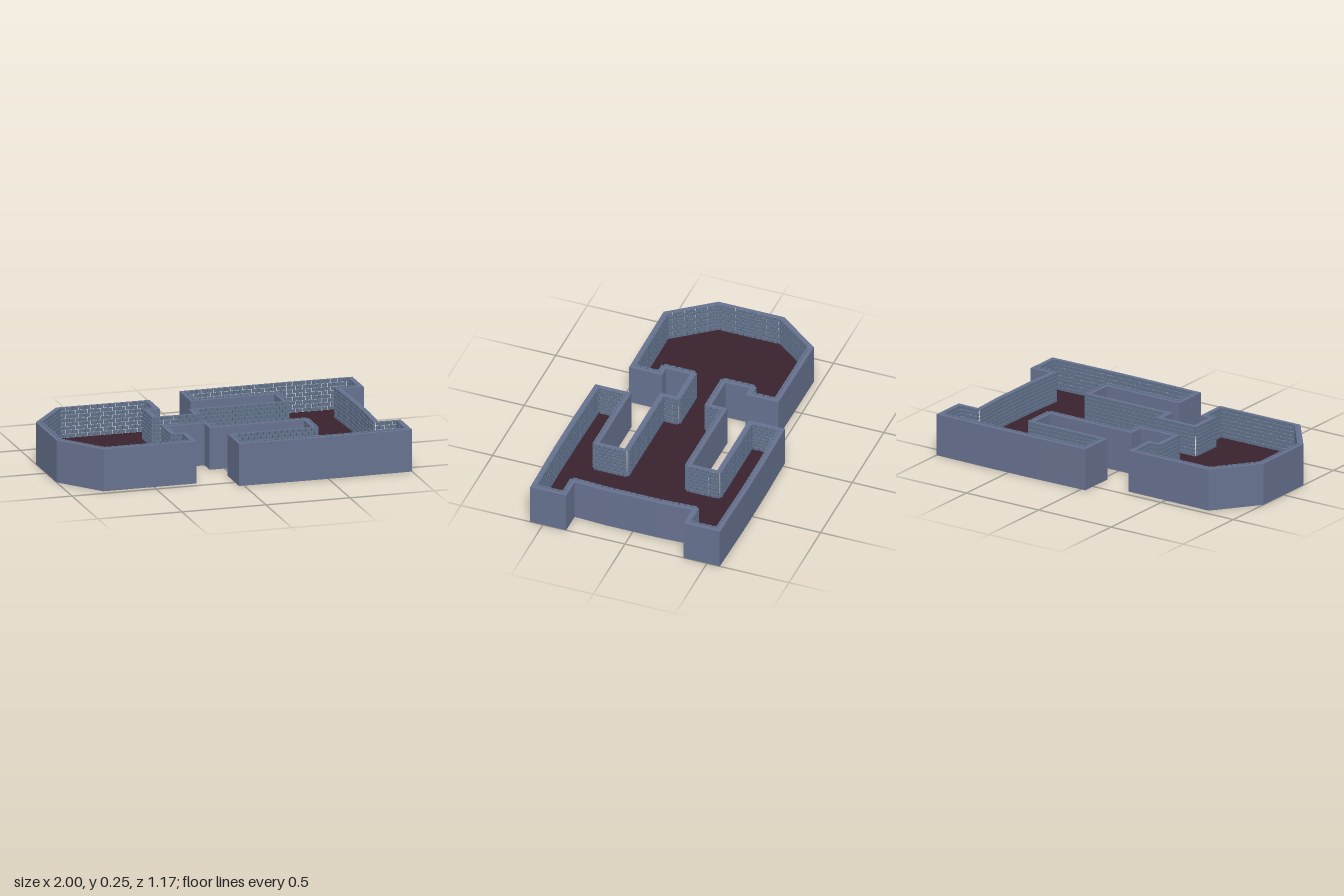
import * as THREE from 'three';
import { mergeGeometries } from 'three/addons/utils/BufferGeometryUtils.js';

const WALL_T = 0.023, BRICK_D = 0.012, FLOOR_Y = 0.07, WALL_Y = 0.248, TOP_Y = 0.252;

// Half of the symmetrical outline; the other half is mirrored
const half = [
  [-1, 0.2], [-0.8, 0.458], [-0.245, 0.455], [-0.245, 0.255], [-0.31, 0.255],
  [-0.31, 0.108], [-0.09, 0.108], [-0.09, 0.205], [0.47, 0.205], [0.47, 0.358],
  [-0.03, 0.358], [-0.03, 0.578], [0.3, 0.584], [0.6, 0.585], [1, 0.578], [1, 0.358], [0.866, 0.358],
  [0.876, 0.16],
];
const outline = [...half, ...half.map(([x, y]) => [x, -y]).reverse()]
  .map(([x, y]) => new THREE.Vector2(x, y));

// Inward normal of a clockwise edge
function normal(a, b) {
  const d = b.clone().sub(a).normalize();
  return new THREE.Vector2(d.y, -d.x);
}

// Mitred inward offset of a closed outline
function inset(pts, d) {
  const n = pts.length;
  return pts.map((p, i) => {
    const n1 = normal(pts[(i + n - 1) % n], p);
    const n2 = normal(p, pts[(i + 1) % n]);
    return p.clone().addScaledVector(n1.clone().add(n2), d / (1 + n1.dot(n2)));
  });
}

// Upright extrusion between two heights
function slab(pts, y0, y1, hole) {
  const shape = new THREE.Shape(pts);
  if (hole) shape.holes.push(new THREE.Path(hole));
  const g = new THREE.ExtrudeGeometry(shape, { depth: y1 - y0, bevelEnabled: false });
  g.rotateX(-Math.PI / 2);
  g.translate(0, y0, 0);
  return g;
}

// Running-bond bricks lining the inside of a closed outline
function brickLining(pts) {
  const bricks = [];
  const rows = 8, rowH = (TOP_Y - FLOOR_Y) / rows;
  pts.forEach((a, i) => {
    const b = pts[(i + 1) % pts.length];
    const len = a.distanceTo(b);
    const dir = b.clone().sub(a).normalize();
    const nrm = normal(a, b);
    const count = Math.max(1, Math.round(len / 0.036));
    const pitch = len / count;
    for (let r = 0; r < rows; r++) {
      const shift = r % 2 ? 0.5 : 0;
      for (let k = 0; k < count + 2 * shift; k++) {
        const s = Math.max(0, (k - shift) * pitch);
        const e = Math.min(len, (k + 1 - shift) * pitch);
        const g = new THREE.BoxGeometry(e - s - 0.005, rowH - 0.004, BRICK_D);
        const c = a.clone().addScaledVector(dir, (s + e) / 2).addScaledVector(nrm, BRICK_D / 2);
        g.rotateY(Math.atan2(dir.y, dir.x));
        g.translate(c.x, TOP_Y - (r + 0.5) * rowH + 0.002, -c.y);
        bricks.push(g);
      }
    }
  });
  return mergeGeometries(bricks);
}

export function createModel() {
  const slate = new THREE.MeshStandardMaterial({ color: 0x67728f });
  slate.name = 'slate wall';
  const stone = new THREE.MeshStandardMaterial({ color: 0x62728c });
  stone.name = 'stone brick';
  const maroon = new THREE.MeshStandardMaterial({ color: 0x38222d });
  maroon.name = 'dark maroon floor';

  const group = new THREE.Group();
  group.name = 'walledRooms';
  const add = (name, geometry, material) => {
    const mesh = new THREE.Mesh(geometry, material);
    mesh.name = name;
    group.add(mesh);
  };

  const inner = inset(outline, WALL_T);
  add('base', slab(outline, 0, FLOOR_Y - 0.008), slate);
  add('outerWall', slab(outline, FLOOR_Y - 0.008, WALL_Y, inner), slate);
  add('floor', slab(inner, FLOOR_Y - 0.008, FLOOR_Y), maroon);
  add('brickLining', brickLining(inner), stone);
  return group;
}
